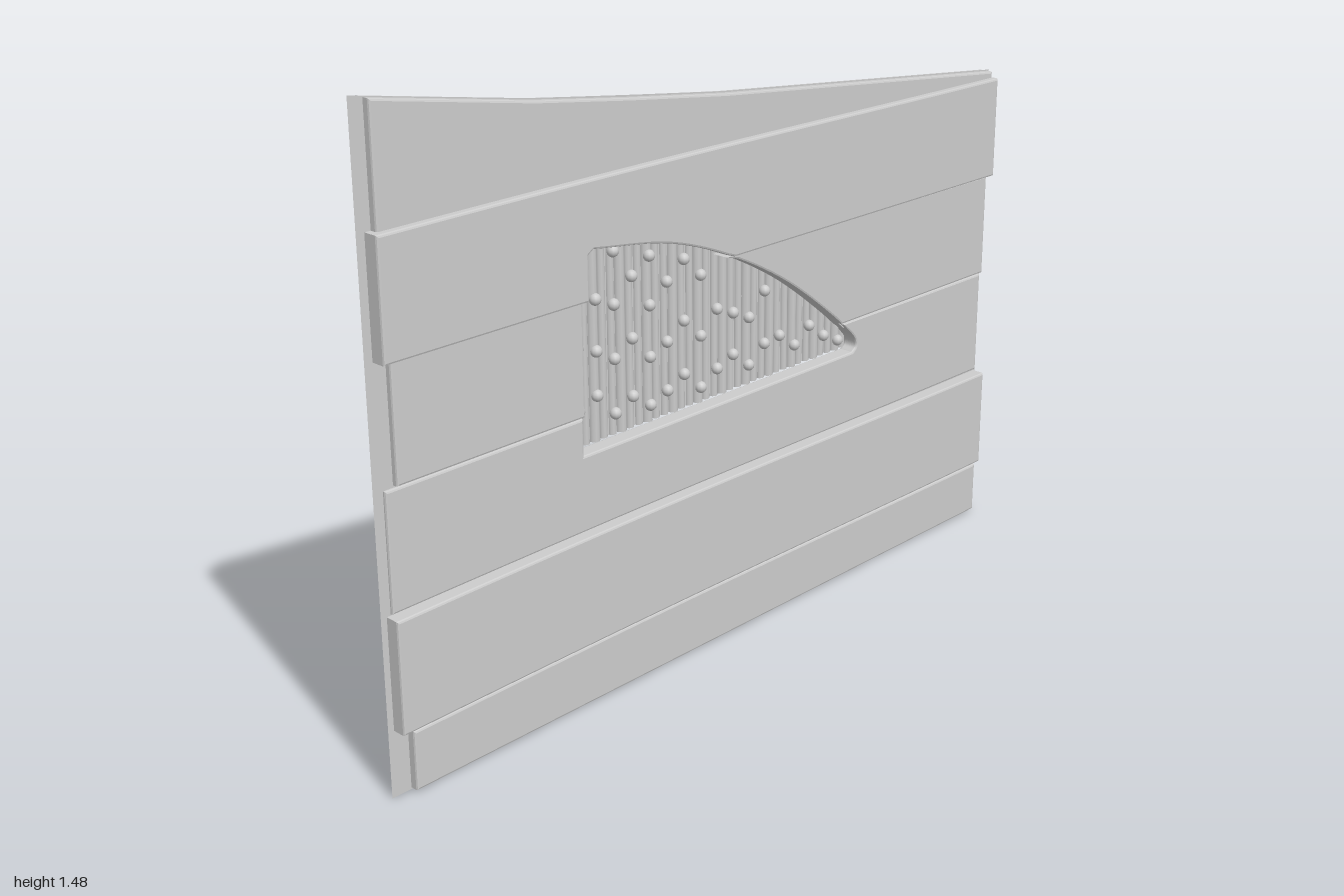
import * as THREE from 'three';

const grey = new THREE.MeshStandardMaterial({ color: 0xcccccc });
const greyDouble = new THREE.MeshStandardMaterial({ color: 0xcccccc, side: THREE.DoubleSide });

// Outlines are lists of [z, y]; the shape plane is turned to face +x.
const toVec = (p) => new THREE.Vector2(-p[0], p[1]);

function slab(outline, x0, x1, bevel = 0, hole = null) {
  const shape = new THREE.Shape(outline.map(toVec));
  if (hole) shape.holes.push(new THREE.Path(hole.map(toVec)));
  const geo = new THREE.ExtrudeGeometry(shape, {
    depth: x1 - x0 - 2 * bevel,
    bevelEnabled: bevel > 0,
    bevelSize: bevel,
    bevelThickness: bevel,
    bevelOffset: -bevel,
    bevelSegments: 2,
  });
  geo.translate(0, 0, x0 + bevel);
  geo.rotateY(Math.PI / 2);
  return geo;
}

// Long plank edge, slightly bowed, sampled from z0 to z1.
function edge(z0, z1, y, bow = 0, n = 14) {
  const pts = [];
  for (let i = 0; i <= n; i++) {
    const z = z0 + ((z1 - z0) * i) / n;
    pts.push([z, y + bow * Math.cos(2.2 * (z - 0.3))]);
  }
  return pts;
}

// Opening: straight side and bottom, arched top falling to a rounded tip.
const arch = new THREE.CatmullRomCurve3(
  [[0.43, 1.07], [0.2, 1.032], [0, 0.957], [-0.2, 0.85], [-0.4, 0.7], [-0.475, 0.632], [-0.478, 0.612], [-0.465, 0.6]]
    .map(([z, y]) => new THREE.Vector3(0, y, z))
).getPoints(48).map((p) => [p.z, p.y]);
const opening = [[0.445, 0.6], [0.445, 1.06], ...arch];
const archBetween = (lo, hi) => arch.filter(([, y]) => y > lo && y < hi);

export function createModel() {
  const model = new THREE.Group();
  const add = (name, geo, mat = grey, parent = model) => {
    const mesh = new THREE.Mesh(geo, mat);
    mesh.name = name;
    parent.add(mesh);
    return mesh;
  };

  // Planks, staggered in depth; the middle ones are cut away around the opening
  const end = -0.992;
  const T = 0.043;
  const planks = [
    ['bottomPlank', -0.014, [...edge(0.95, end, 0.004), ...edge(end, 0.95, 0.143, 0.005)]],
    ['secondPlank', 0, [...edge(0.985, end, 0.154, 0.004), ...edge(end, 0.985, 0.414, 0.006)]],
    ['thirdPlank', -0.027, [
      ...edge(0.975, end, 0.417, 0.004), [end, 0.683], [-0.425, 0.683],
      ...archBetween(0.6, 0.68).slice(1), [-0.465, 0.6], [0.445, 0.6], [0.445, 0.687], [0.975, 0.687]]],
    ['fourthPlankFront', -0.02, [[0.95, 0.692], [0.445, 0.692], [0.445, 0.956], [0.95, 0.956]]],
    ['fourthPlankBack', -0.02, [[end, 0.688], [end, 0.953], [0.005, 0.953], ...archBetween(0.695, 0.95), [-0.413, 0.688]]],
    ['fifthPlank', 0.002, [
      [0.98, 0.958], [0.445, 0.958], [0.445, 1.06], ...archBetween(0.963, 1.08),
      [-0.005, 0.957], [end, 0.957], ...edge(end, 0.98, 1.217, 0.004)]],
    ['topPlank', -0.017, [[0.965, 1.205], [end, 1.205], [end, 1.228], [0, 1.328], [0.3, 1.366], [0.56, 1.402], [0.965, 1.472]]],
  ];
  for (const [name, x, outline] of planks) add(name, slab(outline, x, x + T, 0.005));

  // Thin core sheet behind the plank joints
  const core = new THREE.Shape([[1, 0], [-1, 0], [-1, 1.23], [0, 1.331], [0.3, 1.37], [0.56, 1.405], [1, 1.48]].map(toVec));
  core.holes.push(new THREE.Path(opening.map(toVec)));
  const coreGeo = new THREE.ShapeGeometry(core);
  coreGeo.rotateY(Math.PI / 2);
  coreGeo.translate(0.008, 0, 0);
  add('coreSheet', coreGeo, greyDouble);

  // Rim lining the opening, showing as a curved ridge on the back
  const rimOuter = opening.map(([z, y]) => [-0.015 + (z + 0.015) * 1.02, 0.8 + (y - 0.8) * 1.035]);
  add('openingRim', slab(rimOuter, -0.054, 0.006, 0, opening));

  // Ribbed patch closing the opening from behind
  const patch = new THREE.Group();
  patch.name = 'ribbedPatch';
  model.add(patch);
  const z0 = -0.485, z1 = 0.44, y0 = 0.603, y1 = 1.075;
  const plate = new THREE.BoxGeometry(0.02, y1 - y0, z1 - z0);
  plate.translate(-0.04, (y0 + y1) / 2, (z0 + z1) / 2);
  add('patchPlate', plate, grey, patch);

  const ribs = 34;
  const step = (z1 - z0) / ribs;
  for (let i = 0; i < ribs; i++) {
    const r = step * (i % 3 === 1 ? 0.5 : 0.38);
    const rib = new THREE.CylinderGeometry(r, r, y1 - y0, 10);
    rib.translate(-0.031, (y0 + y1) / 2, z0 + step * (i + 0.5));
    add('rib', rib, grey, patch);
  }

  // Small studs scattered over the ribs
  let seed = 7;
  const rand = () => (seed = (seed * 16807) % 2147483647) / 2147483647;
  const stud = new THREE.SphereGeometry(0.014, 10, 8);
  for (let i = 1; i < ribs; i += 2) {
    const z = z0 + step * (i + 0.5);
    const top = arch.reduce((h, [az, ay]) => (az <= z ? Math.max(h, ay) : h), 0.6);
    for (let y = 0.63 + 0.09 * rand(); y < top - 0.02; y += 0.1 + 0.05 * rand()) {
      add('stud', stud, grey, patch).position.set(-0.018, y, z);
    }
  }
  return model;
}
